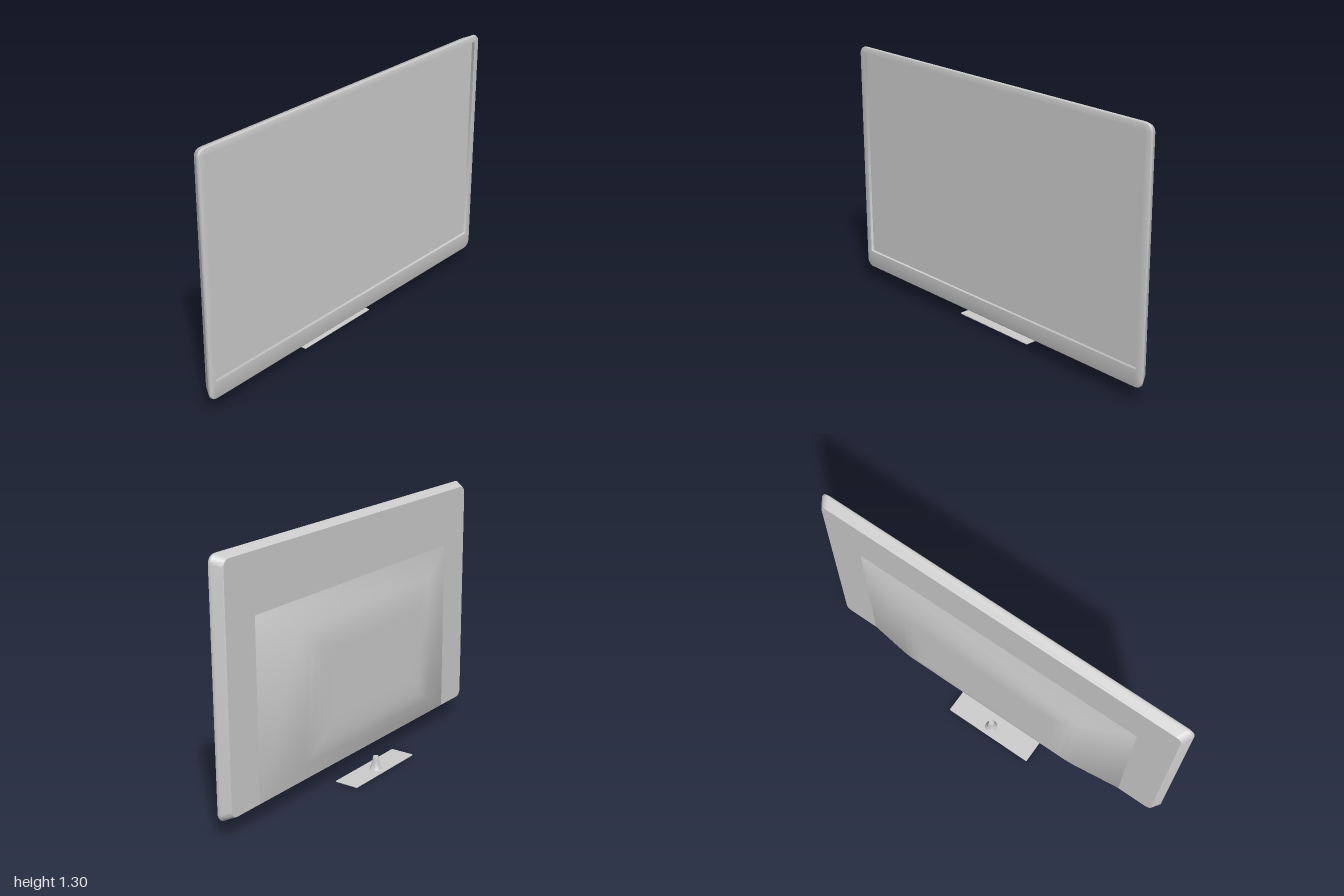
import * as THREE from 'three';
import { toCreasedNormals } from 'three/addons/utils/BufferGeometryUtils.js';

const material = new THREE.MeshStandardMaterial({ color: 0xcccccc });
const CORNER_STEPS = 6;

// Counter-clockwise rounded rectangle in the plane z
function ringPoints({ w, h, cy = 0, r = 0, z }) {
  const points = [];
  [[1, 1], [-1, 1], [-1, -1], [1, -1]].forEach(([sx, sy], corner) => {
    for (let i = 0; i <= CORNER_STEPS; i++) {
      const a = (corner + i / CORNER_STEPS) * Math.PI / 2;
      points.push([sx * (w - r) + r * Math.cos(a), cy + sy * (h - r) + r * Math.sin(a), z]);
    }
  });
  return points;
}

// Skin through rings of half-width w and half-height h; rings run from the front centre out and round to the back
function loft(rings, crease) {
  const n = 4 * (CORNER_STEPS + 1);
  const index = [];
  for (let i = 0; i < rings.length - 1; i++) {
    for (let j = 0; j < n; j++) {
      const a = i * n + j, b = i * n + (j + 1) % n;
      index.push(a, a + n, b + n, a, b + n, b);
    }
  }
  const geometry = new THREE.BufferGeometry();
  geometry.setAttribute('position', new THREE.Float32BufferAttribute(rings.flatMap(ringPoints).flat(), 3));
  geometry.setIndex(index);
  return toCreasedNormals(geometry, crease);
}

function addMesh(parent, name, geometry) {
  const mesh = new THREE.Mesh(geometry, material);
  mesh.name = name;
  parent.add(mesh);
  return mesh;
}

export function createModel() {
  const model = new THREE.Group();
  model.name = 'flatScreen';

  // Recessed screen floor
  const screenY = 0.7225;
  addMesh(model, 'screen', loft([
    { w: 0, h: 0, cy: screenY, z: 0.078 },
    { w: 0.964, h: 0.547, cy: screenY, r: 0.003, z: 0.078 },
  ], 0.5));

  // Frame: recess wall, front bezel, rounded rim, tapered sides and back
  const cy = 0.695;
  addMesh(model, 'frame', loft([
    { w: 0.964, h: 0.547, cy: screenY, r: 0.003, z: 0.078 },
    { w: 0.964, h: 0.547, cy: screenY, r: 0.003, z: 0.093 },
    { w: 0.994, h: 0.604, cy, r: 0.036, z: 0.093 },
    { w: 0.999, h: 0.608, cy, r: 0.04, z: 0.091 },
    { w: 1, h: 0.61, cy, r: 0.041, z: 0.087 },
    { w: 1, h: 0.61, cy, r: 0.041, z: 0.081 },
    { w: 0.996, h: 0.606, cy, r: 0.04, z: 0.075 },
    { w: 0.975, h: 0.592, cy, r: 0.036, z: 0.04 },
    { w: 0.969, h: 0.589, cy, r: 0.034, z: 0.033 },
    { w: 0, h: 0, cy, z: 0.033 },
  ], 0.7));

  // Softly domed rear housing
  const backY = 0.5525;
  addMesh(model, 'rearHousing', loft([
    { w: 0.78, h: 0.447, cy: backY, z: 0.034 },
    { w: 0.53, h: 0.325, cy: backY, z: -0.03 },
    { w: 0.48, h: 0.293, cy: backY, z: -0.042 },
    { w: 0.44, h: 0.255, cy: backY, z: -0.05 },
    { w: 0.4, h: 0.21, cy: backY, z: -0.053 },
    { w: 0.34, h: 0.16, cy: backY, z: -0.053 },
    { w: 0, h: 0, cy: backY, z: -0.053 },
  ], 1));

  // Stand, set slightly off centre
  const stand = new THREE.Group();
  stand.name = 'stand';
  model.add(stand);

  // Thin base plate with a tapered underside
  const plate = addMesh(stand, 'basePlate', loft([
    { w: 0, h: 0, z: 0.012 },
    { w: 0.246, h: 0.062, r: 0.002, z: 0.012 },
    { w: 0.248, h: 0.064, r: 0.003, z: 0.01 },
    { w: 0.248, h: 0.064, r: 0.003, z: 0.006 },
    { w: 0.23, h: 0.05, r: 0.003, z: 0 },
    { w: 0, h: 0, z: 0 },
  ], 0.4));
  plate.rotation.x = -Math.PI / 2;
  plate.position.set(-0.047, 0, -0.032);

  // Flared neck
  const profile = [[0.034, 0.01], [0.03, 0.018], [0.025, 0.027], [0.021, 0.04], [0.017, 0.06],
    [0.015, 0.076], [0.013, 0.081], [0, 0.081]].map(([x, y]) => new THREE.Vector2(x, y));
  const neck = addMesh(stand, 'neck', toCreasedNormals(new THREE.LatheGeometry(profile, 32), 0.7));
  neck.position.set(-0.035, 0, -0.045);

  return model;
}
